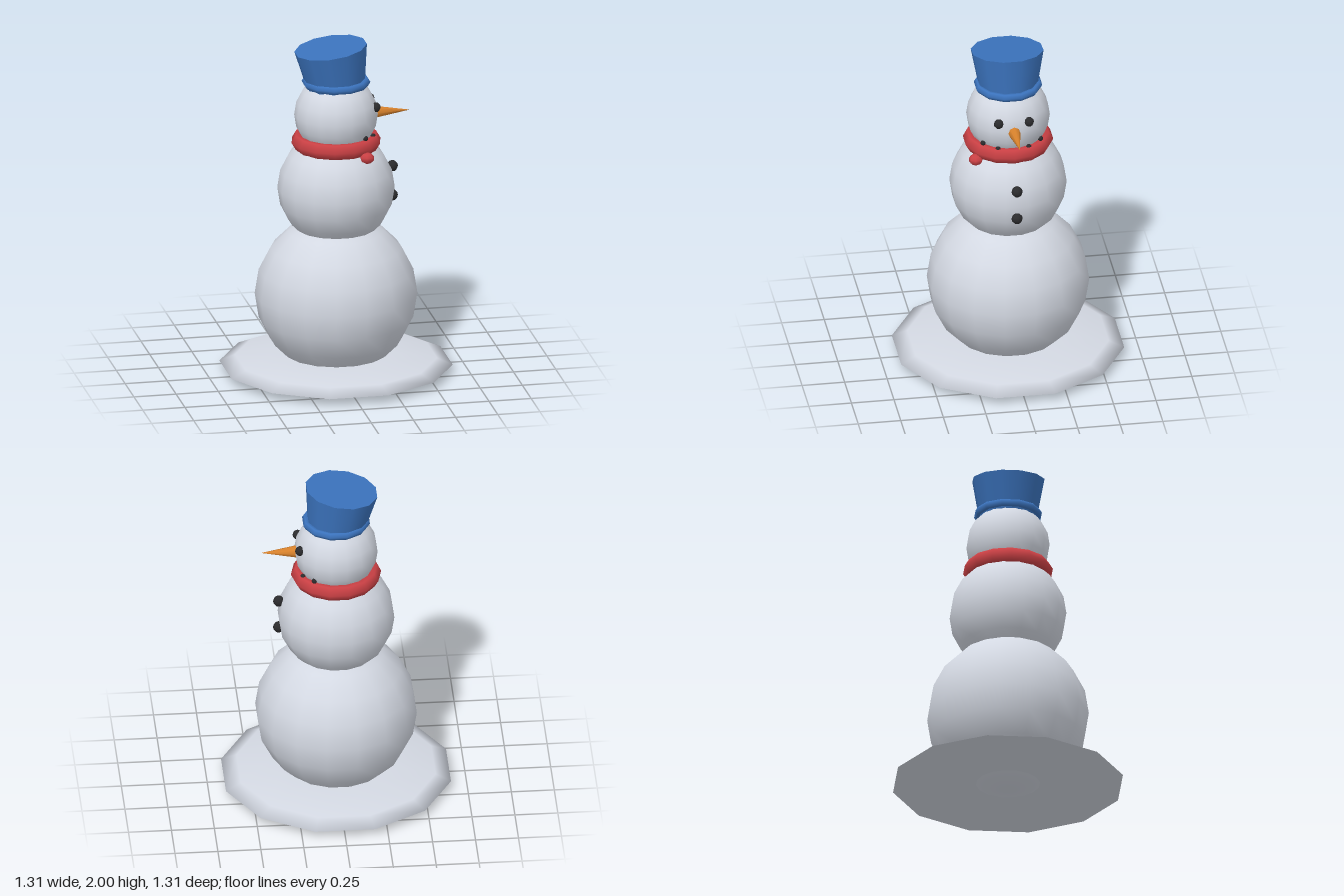
import * as THREE from 'three';

export function createModel() {
  const model = new THREE.Group();
  model.name = 'snowman';
  const paint = (name, color) => {
    const m = new THREE.MeshStandardMaterial({ color });
    m.name = name;
    return m;
  };
  const snow = paint('snow', 0xd3d8e2);
  const blue = paint('hatBlue', 0x3b73bd);
  const red = paint('scarfRed', 0xc94044);
  const orange = paint('carrotOrange', 0xd8822c);
  const coal = paint('coal', 0x2b2b2d);

  const add = (name, geometry, material, x, y, z) => {
    const mesh = new THREE.Mesh(geometry, material);
    mesh.name = name;
    mesh.position.set(x, y, z);
    model.add(mesh);
    return mesh;
  };

  // Three stacked snowballs, each turned half a segment
  const ball = (name, r, y) =>
    add(name, new THREE.SphereGeometry(r, 16, 10).rotateY(Math.PI / 16), snow, 0, y, 0);
  ball('lowerBody', 0.472, 0.473);
  ball('middleBody', 0.341, 1.12);
  ball('head', 0.243, 1.565);

  // Shallow snow mound with a flat underside
  const mound = new THREE.SphereGeometry(0.678, 12, 3, 0, Math.PI * 2, 0, Math.PI / 2);
  mound.scale(1, 0.118, 1).rotateY(Math.PI / 12);
  add('snowMound', mound, snow, 0, 0.045, 0);
  const underside = new THREE.CircleGeometry(0.678, 12).rotateX(Math.PI / 2);
  add('moundUnderside', underside.rotateY(Math.PI / 12), snow, 0, 0.045, 0);

  // Scarf ring and its knot
  add('scarf', new THREE.TorusGeometry(0.213, 0.05, 6, 14).rotateX(-Math.PI / 2), red, 0, 1.404, 0);
  const knot = add('scarfKnot', new THREE.SphereGeometry(0.044, 8, 5).scale(1, 0.75, 1), red, 0.14, 1.353, 0.21);
  knot.rotation.y = -0.98;

  // Hat: flared crown leaning back over a level brim
  const crown = new THREE.CylinderGeometry(0.213, 0.169, 0.24, 12).rotateY(Math.PI / 12);
  add('hatCrown', crown, blue, -0.016, 1.853, 0).rotation.z = 0.135;
  const brim = new THREE.TorusGeometry(0.175, 0.025, 6, 12).rotateX(-Math.PI / 2);
  add('hatBrim', brim.rotateY(Math.PI / 12), blue, 0, 1.764, 0);

  // Carrot nose pointing along +x
  add('nose', new THREE.ConeGeometry(0.037, 0.208, 8).rotateZ(-Math.PI / 2), orange, 0.333, 1.562, 0);

  // Coal pieces
  const lump = (name, r, x, y, z) => add(name, new THREE.SphereGeometry(r, 8, 6), coal, x, y, z);
  for (const [side, s] of [['left', -1], ['right', 1]]) {
    lump(side + 'Eye', 0.029, 0.217, 1.62, 0.089 * s);
    lump(side + 'MouthCorner', 0.016, 0.14, 1.46, 0.168 * s);
    lump(side + 'MouthInner', 0.016, 0.2, 1.445, 0.09 * s);
  }
  lump('upperButton', 0.033, 0.334, 1.226, 0);
  lump('lowerButton', 0.033, 0.334, 1.048, 0);

  return model;
}
